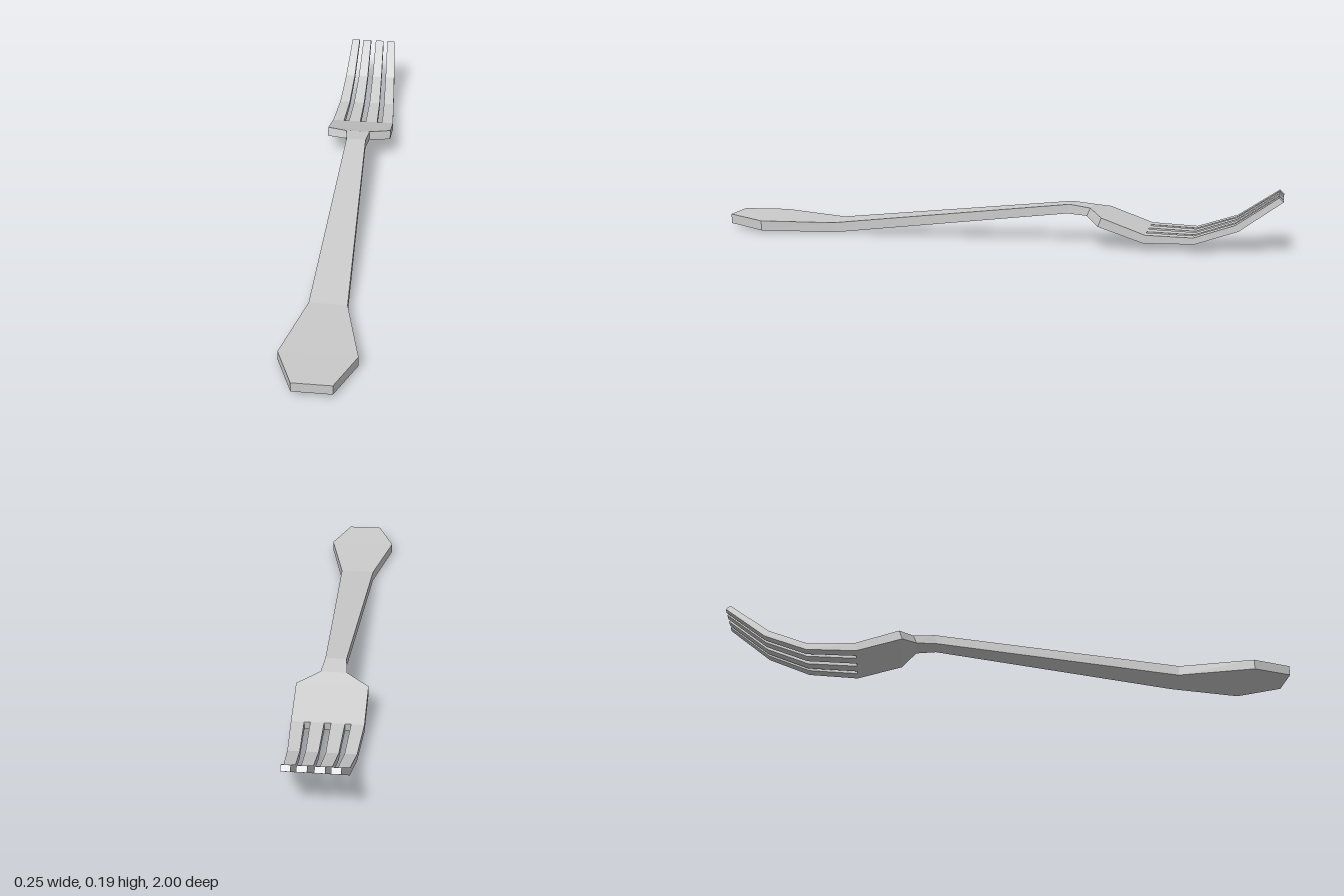
import * as THREE from 'three';

const material = new THREE.MeshStandardMaterial({ color: 0xcccccc, flatShading: true });

// Side profile stations: [zTop, yTop, zBottom, yBottom]
const buttEnd = [1.0, 0.05, 1.0, 0.016];
const buttWide = [0.855, 0.042, 0.855, 0.007];
const buttWaist = [0.6, 0.035, 0.595, 0.0];
const neckCrest = [-0.27, 0.135, -0.262, 0.102];
const neckEnd = [-0.345, 0.126, -0.333, 0.098];
const shoulder = [-0.395, 0.107, -0.383, 0.076];
const palmEnd = [-0.545, 0.054, -0.54, 0.025];
const tineLow = [-0.706, 0.05, -0.712, 0.028];
const tineBend = [-0.845, 0.098, -0.856, 0.077];
const tineTip = [-0.985, 0.195, -1.0, 0.181];

// Slab lofted through rectangular sections: rows of [station, xMin, xMax]
function slab(name, rows) {
  const pos = [];
  const rings = rows.map(([[zt, yt, zb, yb], a, b]) => [
    [a, yb, zb], [b, yb, zb], [b, yt, zt], [a, yt, zt],
  ]);
  const quad = (a, b, c, d) => pos.push(...a, ...b, ...c, ...a, ...c, ...d);
  for (let i = 0; i < rings.length - 1; i++) {
    const p = rings[i], q = rings[i + 1];
    for (let k = 0; k < 4; k++) {
      const n = (k + 1) % 4;
      quad(p[k], q[k], q[n], p[n]);
    }
  }
  const first = rings[0], last = rings[rings.length - 1];
  quad(first[0], first[1], first[2], first[3]);
  quad(last[3], last[2], last[1], last[0]);
  const geometry = new THREE.BufferGeometry();
  geometry.setAttribute('position', new THREE.Float32BufferAttribute(pos, 3));
  geometry.computeVertexNormals();
  const mesh = new THREE.Mesh(geometry, material);
  mesh.name = name;
  return mesh;
}

const symmetric = (rows) => rows.map(([station, w]) => [station, -w, w]);

export function createModel() {
  const group = new THREE.Group();
  group.name = 'fork';

  // Handle with flared butt and narrow neck
  group.add(slab('handle', symmetric([
    [buttEnd, 0.063], [buttWide, 0.124], [buttWaist, 0.063], [neckCrest, 0.036], [neckEnd, 0.044],
  ])));

  // Palm with angled shoulders
  group.add(slab('palm', symmetric([[neckEnd, 0.044], [shoulder, 0.12], [palmEnd, 0.119]])));

  // Tapered tines, mirrored left and right: inner and outer edge at each station
  const stations = [palmEnd, tineLow, tineBend, tineTip];
  const tines = {
    InnerTine: [[0.011, 0.056], [0.011, 0.052], [0.01, 0.047], [0.01, 0.042]],
    OuterTine: [[0.076, 0.119], [0.07, 0.109], [0.064, 0.1], [0.058, 0.088]],
  };
  for (const [name, edges] of Object.entries(tines)) {
    group.add(slab('left' + name, stations.map((s, i) => [s, edges[i][0], edges[i][1]])));
    group.add(slab('right' + name, stations.map((s, i) => [s, -edges[i][1], -edges[i][0]])));
  }
  return group;
}
